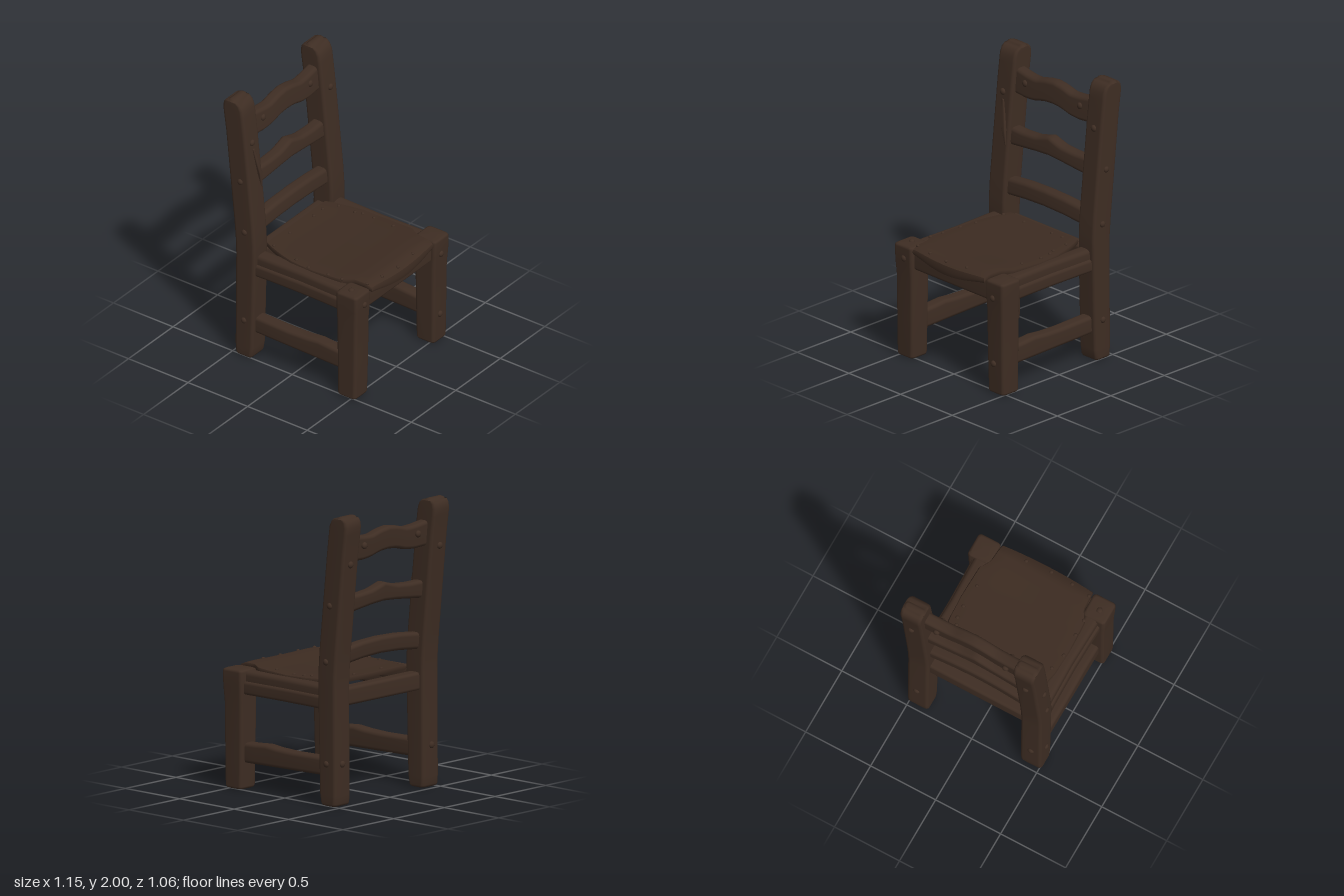
import * as THREE from 'three';

const wood = new THREE.MeshStandardMaterial({ color: 0x3e2d23 });
wood.name = 'dark wood';
const leather = new THREE.MeshStandardMaterial({ color: 0x3c2b21 });
leather.name = 'dark leather';

const lerp = THREE.MathUtils.lerp;

// Piecewise linear lookup through [position, value] pairs
function along(pairs, t) {
  for (let i = 1; i < pairs.length; i++) {
    const [a, va] = pairs[i - 1], [b, vb] = pairs[i];
    if (t <= b) return lerp(va, vb, Math.max(0, (t - a) / (b - a)));
  }
  return pairs[pairs.length - 1][1];
}

// Rounded rectangular bar along an axis; each section is [t, a0, a1, b0, b1]
// (axis x: a=y b=z, axis y: a=z b=x, axis z: a=x b=y)
function bar(name, axis, sections, r = 0.022, material = wood) {
  const inset = (s, t, d) => [t, s[1] + d, s[2] - d, s[3] + d, s[4] - d];
  const first = sections[0], last = sections[sections.length - 1];
  const e = r * 0.8;
  const rings = [
    inset(first, first[0], e), inset(first, first[0] + e * 0.3, e * 0.3), inset(first, first[0] + e, 0),
    ...sections.slice(1, -1),
    inset(last, last[0] - e, 0), inset(last, last[0] - e * 0.3, e * 0.3), inset(last, last[0], e),
  ];
  const place = (t, a, b) => axis === 'x' ? [t, a, b] : axis === 'y' ? [b, t, a] : [a, b, t];
  const pos = [], idx = [], steps = 3, n = 4 * (steps + 1);
  for (const [t, a0, a1, b0, b1] of rings) {
    const q = Math.min(r, (a1 - a0) * 0.45, (b1 - b0) * 0.45);
    const corners = [[a1 - q, b1 - q], [a0 + q, b1 - q], [a0 + q, b0 + q], [a1 - q, b0 + q]];
    corners.forEach(([ca, cb], c) => {
      for (let i = 0; i <= steps; i++) {
        const ang = (c + i / steps) * Math.PI / 2;
        pos.push(...place(t, ca + q * Math.cos(ang), cb + q * Math.sin(ang)));
      }
    });
  }
  for (let k = 0; k < rings.length - 1; k++) {
    for (let j = 0; j < n; j++) {
      const p = k * n + j, s = k * n + (j + 1) % n;
      idx.push(p, s, s + n, p, s + n, p + n);
    }
  }
  // End caps
  for (const [k, end] of [[0, false], [rings.length - 1, true]]) {
    const [t, a0, a1, b0, b1] = rings[k], c = pos.length / 3;
    pos.push(...place(t, (a0 + a1) / 2, (b0 + b1) / 2));
    for (let j = 0; j < n; j++) {
      const p = k * n + j, s = k * n + (j + 1) % n;
      idx.push(c, end ? p : s, end ? s : p);
    }
  }
  const g = new THREE.BufferGeometry();
  g.setAttribute('position', new THREE.Float32BufferAttribute(pos, 3));
  g.setIndex(idx);
  g.computeVertexNormals();
  const mesh = new THREE.Mesh(g, material);
  mesh.name = name;
  return mesh;
}

export function createModel() {
  const chair = new THREE.Group();
  chair.name = 'chair';

  for (const side of [1, -1]) {
    const label = side > 0 ? 'Left' : 'Right';
    // Order a pair of z limits for either side
    const z = (inner, outer) => side > 0 ? [inner, outer] : [-outer, -inner];

    // Back post: upright below the seat, leaning back above, domed top
    const post = [
      [0, -0.47, -0.335], [0.08, -0.475, -0.325], [0.45, -0.472, -0.315], [0.8, -0.47, -0.308],
      [0.9, -0.473, -0.308], [1.05, -0.485, -0.318], [1.4, -0.52, -0.353], [1.75, -0.555, -0.389],
      [1.88, -0.573, -0.405], [1.93, -0.579, -0.412], [1.965, -0.572, -0.428],
      [1.985, -0.556, -0.452], [2, -0.54, -0.475],
    ].map(([y, x0, x1]) => [y, ...z(0.355, 0.515), x0, x1]);
    chair.add(bar('backPost' + label, 'y', post, 0.024));

    // Front leg: wider at the top
    chair.add(bar('frontLeg' + label, 'y', [
      [0, ...z(0.365, 0.518), 0.388, 0.54], [0.3, ...z(0.36, 0.518), 0.385, 0.545],
      [0.6, ...z(0.358, 0.52), 0.382, 0.548], [0.7, ...z(0.357, 0.525), 0.38, 0.556],
      [0.822, ...z(0.357, 0.528), 0.38, 0.558],
    ], 0.024));

    // Side seat rail: lower beam with a narrower upper ledge
    chair.add(bar('sideRail' + label, 'x', [-0.4, -0.2, 0.05, 0.25, 0.45].map((x, i) =>
      [x, 0.652, 0.745, ...z(0.375, [0.497, 0.49, 0.486, 0.49, 0.497][i])])));
    chair.add(bar('sideRailLedge' + label, 'x', [-0.4, 0.05, 0.45].map((x, i) =>
      [x, 0.7, 0.812, ...z(0.37, i === 1 ? 0.468 : 0.478)]), 0.03));

    // Low side stretcher with a worn hump
    const low = [[-0.4, 0.197, 0.325], [-0.05, 0.19, 0.317], [0.1, 0.187, 0.322], [0.2, 0.185, 0.332],
      [0.3, 0.183, 0.324], [0.45, 0.18, 0.318]];
    chair.add(bar('stretcher' + label, 'x', low.map(([x, y0, y1]) => [x, y0, y1, ...z(0.385, 0.483)]), 0.026));
  }

  // Front and back seat rails
  chair.add(bar('frontRail', 'z', [[-0.4, 0.415, 0.525, 0.655, 0.8], [0.4, 0.415, 0.525, 0.655, 0.8]]));
  chair.add(bar('backRail', 'z', [[-0.4, -0.44, -0.34, 0.67, 0.795], [0.4, -0.44, -0.34, 0.67, 0.795]]));

  // Back slats: upper and lower edges by distance from the middle
  const slats = [
    { x: -0.467, y: 1.76, depth: 0.088,
      top: [[0, 1.862], [0.08, 1.852], [0.17, 1.828], [0.25, 1.832], [0.36, 1.848]],
      bottom: [[0, 1.702], [0.08, 1.696], [0.17, 1.672], [0.25, 1.664], [0.36, 1.67]] },
    { x: -0.425, y: 1.39, depth: 0.092,
      top: [[0, 1.473], [0.05, 1.458], [0.12, 1.438], [0.25, 1.428], [0.36, 1.43]],
      bottom: [[0, 1.34], [0.12, 1.332], [0.25, 1.318], [0.36, 1.306]] },
    { x: -0.393, y: 1.02, depth: 0.092,
      top: [[0, 1.092], [0.18, 1.086], [0.36, 1.068]],
      bottom: [[0, 0.975], [0.18, 0.968], [0.36, 0.95]] },
  ];
  slats.forEach((s, i) => {
    const sections = [];
    for (let k = -12; k <= 12; k++) {
      const zz = k / 12 * 0.39, d = Math.abs(zz), bow = 0.012 * Math.cos(zz * 4);
      sections.push([zz, s.x - s.depth / 2 + bow, s.x + s.depth / 2 + bow, along(s.bottom, d), along(s.top, d)]);
    }
    const slat = bar('backSlat' + (i + 1), 'z', sections, 0.026);
    const p = slat.geometry.attributes.position;
    for (let v = 0; v < p.count; v++) p.setX(v, p.getX(v) - 0.096 * (p.getY(v) - s.y));
    slat.geometry.computeVertexNormals();
    chair.add(slat);
  });

  // Leather seat: a sheet shaped by width, sag and a draped front edge
  const width = [[-0.345, 0.33], [-0.28, 0.358], [-0.18, 0.388], [-0.08, 0.41], [0.1, 0.418], [0.34, 0.408],
    [0.37, 0.385], [0.41, 0.362], [0.54, 0.352], [0.58, 0.34]];
  const crown = [[-0.345, 0.843], [-0.2, 0.835], [0.05, 0.828], [0.25, 0.836], [0.42, 0.848], [0.5, 0.846],
    [0.54, 0.832], [0.58, 0.808]];
  const seatTop = (x, u) => along(crown, x) - 0.006 * (1 - u * u) - 0.008 * u ** 8;
  const g = new THREE.BoxGeometry(2, 2, 2, 48, 2, 28);
  const p = g.attributes.position;
  for (let v = 0; v < p.count; v++) {
    const s = p.getX(v), h = p.getY(v), u = p.getZ(v);
    const edge = h === 0 ? 0 : 0.007;
    const front = 0.556 + 0.02 * (1 - u * u);
    const x = lerp(-0.345 + edge, front - edge, (s + 1) / 2);
    const lip = 0.035 * Math.max(0, (x - 0.49) / 0.08) * (1 - u * u);
    const y = seatTop(x, u) - (h > 0 ? 0 : h === 0 ? 0.014 + lip / 2 : 0.034 + lip);
    p.setXYZ(v, x, y, u * (along(width, x) - edge));
  }
  g.computeVertexNormals();
  const seat = new THREE.Mesh(g, leather);
  seat.name = 'seat';
  chair.add(seat);

  // Domed peg, flattened along the axis it sticks out of
  const dome = new THREE.SphereGeometry(1, 12, 8);
  function peg(name, x, y, z, r, axis) {
    const m = new THREE.Mesh(dome, wood);
    m.name = name;
    m.position.set(x, y, z);
    m.scale.set(r, r, r);
    m.scale[axis] = r * 0.7;
    chair.add(m);
  }

  // Small seat tacks
  const tacks = [[-0.29, -0.23], [-0.29, -0.13], [-0.29, 0.14], [-0.28, 0.33], [-0.23, -0.33], [-0.1, -0.34],
    [-0.05, -0.36], [0.04, -0.365], [0.21, -0.355], [0.525, -0.15], [0.54, 0.035], [0.53, 0.2],
    [0.51, 0.34], [0.34, 0.395], [0.225, 0.395], [0.06, 0.395], [-0.06, 0.37]];
  for (const [x, z] of tacks) peg('seatTack', x, seatTop(x, z / along(width, x)), z, 0.013, 'y');

  // Joint pegs on posts, slats and legs
  for (const s of [1, -1]) {
    for (const [x, y] of [[-0.425, 1.38], [-0.39, 0.99], [-0.395, 0.29]])
      peg('postSidePeg', x, y, s * 0.515, 0.022, 'z');
    peg('postFrontPeg', -0.381, 1.67, s * 0.44, 0.024, 'x');
    peg('postBackPeg', -0.548, 1.67, s * 0.44, 0.024, 'x');
    peg('postLowerPeg', -0.472, 0.29, s * 0.44, 0.024, 'x');
    peg('slatFrontPeg', -0.42, 1.77, s * 0.265, 0.024, 'x');
    peg('slatBackPeg', -0.513, 1.77, s * 0.265, 0.024, 'x');
    peg('legUpperPeg', 0.554, s > 0 ? 0.73 : 0.7, s * 0.43, 0.023, 'x');
  }
  peg('legLowerPeg', 0.546, 0.22, -0.43, 0.023, 'x');
  peg('legTopPeg', 0.46, 0.82, 0.45, 0.022, 'y');

  // Split splinter on the front of the left post
  const splinter = bar('splinter', 'y', [
    [1.3, 0.372, 0.385, -0.37, -0.342], [1.42, 0.38, 0.412, -0.38, -0.335],
    [1.52, 0.4, 0.428, -0.39, -0.352], [1.62, 0.422, 0.442, -0.395, -0.368],
  ], 0.006);
  chair.add(splinter);

  return chair;
}
